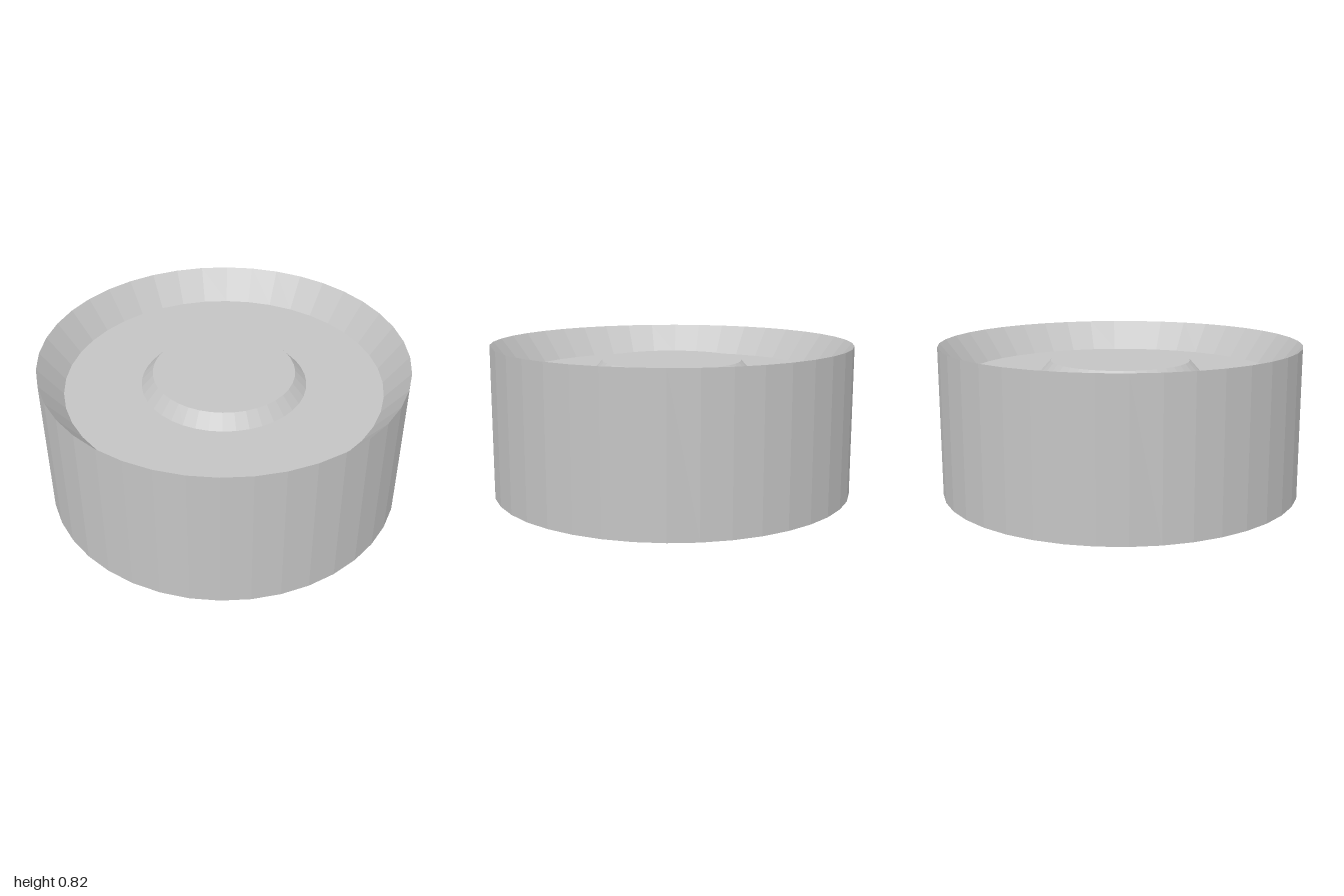
import * as THREE from 'three';

const SEGMENTS = 40;
const HEIGHT = 0.824;
const FLOOR = 0.656;   // recessed face
const BOSS = 0.728;    // raised centre face

export function createModel() {
  const group = new THREE.Group();
  const grey = new THREE.MeshStandardMaterial({ color: 0xc4c4c4 });
  grey.name = 'plain grey';
  grey.flatShading = true;

  // Turned part from [radius, y] points, listed outward then upward
  const turn = (name, profile) => {
    const points = profile.map(([r, y]) => new THREE.Vector2(r, y));
    const mesh = new THREE.Mesh(new THREE.LatheGeometry(points, SEGMENTS), grey);
    mesh.name = name;
    group.add(mesh);
  };

  // The same part on the top and, mirrored, on the bottom
  const turnBoth = (name, profile) => {
    turn(name + 'Top', profile);
    turn(name + 'Bottom', profile.map(([r, y]) => [r, HEIGHT - y]).reverse());
  };

  // Straight outer wall
  turn('outerWall', [[1, 0], [1, HEIGHT]]);

  // Sloping rim down to the recessed face
  turnBoth('slopedRim', [[1, HEIGHT], [0.871, FLOOR]]);
  turnBoth('recessedFace', [[0.871, FLOOR], [0.452, FLOOR]]);

  // Tapered boss in the centre
  turnBoth('centreBoss', [[0.452, FLOOR], [0.388, BOSS], [0, BOSS]]);

  return group;
}
